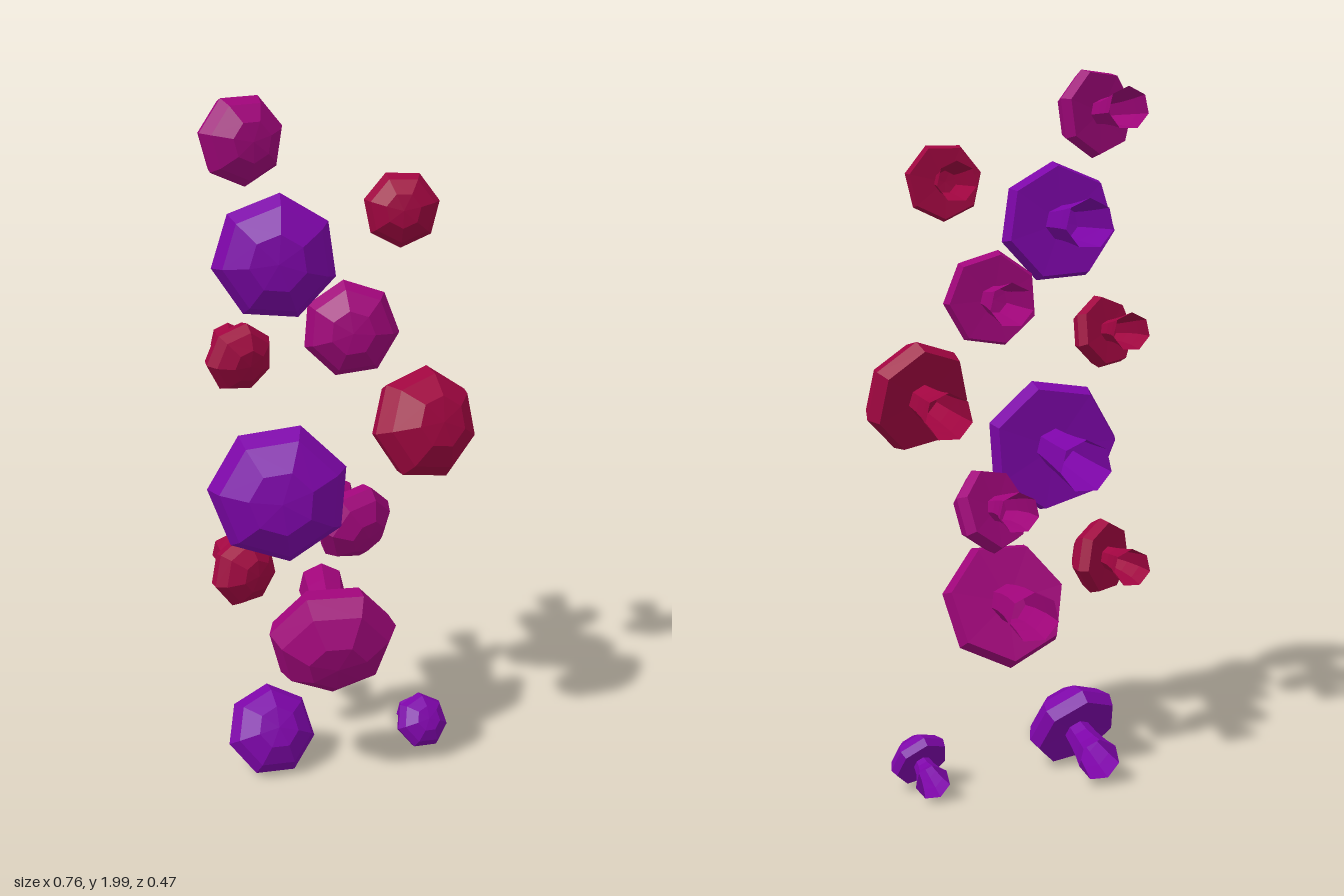
import * as THREE from 'three';

const WALL_Z = -0.235;
const material = (color) =>
  new THREE.MeshStandardMaterial({ color, flatShading: true, side: THREE.DoubleSide });

// Seven-sided cap: flat underside, short rim, flattened dome; opens along +z
function capGeometry(radius, roll) {
  const profile = [[0, 0.04], [0.92, 0], [1, 0.27], [0.84, 0.57], [0.45, 0.86], [0, 0.9]]
    .map(([r, h]) => new THREE.Vector2(r * radius, (h - 0.45) * radius));
  const geo = new THREE.LatheGeometry(profile, 7);
  geo.rotateX(Math.PI / 2);
  geo.rotateZ(THREE.MathUtils.degToRad(roll + 90));
  return geo;
}

// Seven-sided stem along a curve, tapering from the open foot to the cap
function stemGeometry(curve, r0, r1) {
  const sides = 7, steps = 3, pos = [], index = [];
  for (let i = 0; i <= steps; i++) {
    const t = i / steps, p = curve.getPoint(t);
    const turn = new THREE.Quaternion()
      .setFromUnitVectors(new THREE.Vector3(0, 0, 1), curve.getTangent(t));
    const r = r1 + (r0 - r1) * (1 - t) ** 1.4;
    for (let j = 0; j < sides; j++) {
      const a = (j / sides) * Math.PI * 2 + Math.PI / 2;
      const v = new THREE.Vector3(Math.cos(a) * r, Math.sin(a) * r, 0).applyQuaternion(turn).add(p);
      pos.push(v.x, v.y, v.z);
      if (i < steps) {
        const b = i * sides + j, c = i * sides + (j + 1) % sides;
        index.push(b, c, c + sides, b, c + sides, b + sides);
      }
    }
  }
  const geo = new THREE.BufferGeometry();
  geo.setAttribute('position', new THREE.Float32BufferAttribute(pos, 3));
  geo.setIndex(index);
  geo.computeVertexNormals();
  return geo;
}

function mushroom({ at, facing, radius, roll = 70, mat }) {
  const group = new THREE.Group();
  const centre = new THREE.Vector3(...at);
  const n = new THREE.Vector3(...facing).normalize();

  const cap = new THREE.Mesh(capGeometry(radius, roll), mat);
  cap.name = 'cap';
  cap.position.copy(centre);
  cap.quaternion.setFromUnitVectors(new THREE.Vector3(0, 0, 1), n);

  // Stem leaves the wall straight and bends into the underside of the cap
  const top = centre.clone().addScaledVector(n, -0.38 * radius);
  const foot = centre.clone().addScaledVector(n, -0.8 * radius).setZ(WALL_Z);
  const bend = foot.clone().setZ(THREE.MathUtils.lerp(WALL_Z, top.z, 0.5));
  const curve = new THREE.QuadraticBezierCurve3(foot, bend, top);
  const stem = new THREE.Mesh(stemGeometry(curve, 0.03 + radius * 0.22, radius * 0.28), mat);
  stem.name = 'stem';

  group.add(cap, stem);
  return group;
}

export function createModel() {
  const model = new THREE.Group();
  model.name = 'wallMushrooms';
  const purple = material(0x7d05a8), magenta = material(0xa0057a), red = material(0xa00540);

  // Cap centre, facing direction, cap radius and roll of each mushroom, top to bottom
  const mushrooms = [
    { at: [-0.258, 1.88, -0.01], facing: [0.38, 0, 0.92], radius: 0.124, roll: 67, mat: magenta },
    { at: [0.167, 1.69, -0.037], facing: [-0.03, 0.04, 1], radius: 0.107, roll: 63, mat: red },
    { at: [-0.185, 1.578, 0.087], facing: [0.05, 0, 1], radius: 0.173, roll: 85, mat: purple },
    { at: [0.022, 1.37, 0.022], facing: [0, 0.04, 1], radius: 0.137, roll: 98, mat: magenta },
    { at: [-0.275, 1.272, -0.055], facing: [0.45, -0.2, 0.87], radius: 0.104, roll: 80, mat: red },
    { at: [0.243, 1.108, 0.053], facing: [0.38, 0.27, 0.88], radius: 0.163, roll: 84, mat: red },
    { at: [-0.185, 0.935, 0.145], facing: [0.02, 0.07, 1], radius: 0.2, roll: 72, mat: purple },
    { at: [0.05, 0.77, -0.038], facing: [0.5, -0.35, 0.8], radius: 0.124, mat: magenta },
    { at: [-0.271, 0.632, -0.06], facing: [0.6, 0, 0.8], radius: 0.11, roll: 90, mat: red },
    { at: [-0.034, 0.453, 0.107], facing: [0.06, -0.37, 0.92], radius: 0.189, roll: 64, mat: magenta },
    { at: [-0.207, 0.137, -0.018], facing: [0.25, 0.5, 0.83], radius: 0.138, roll: 90, mat: purple },
    { at: [0.265, 0.099, -0.104], facing: [0.3, 0.5, 0.81], radius: 0.086, roll: 90, mat: purple },
  ];
  mushrooms.forEach((spec, i) => {
    const m = mushroom(spec);
    m.name = `mushroom${i + 1}`;
    model.add(m);
  });
  return model;
}
